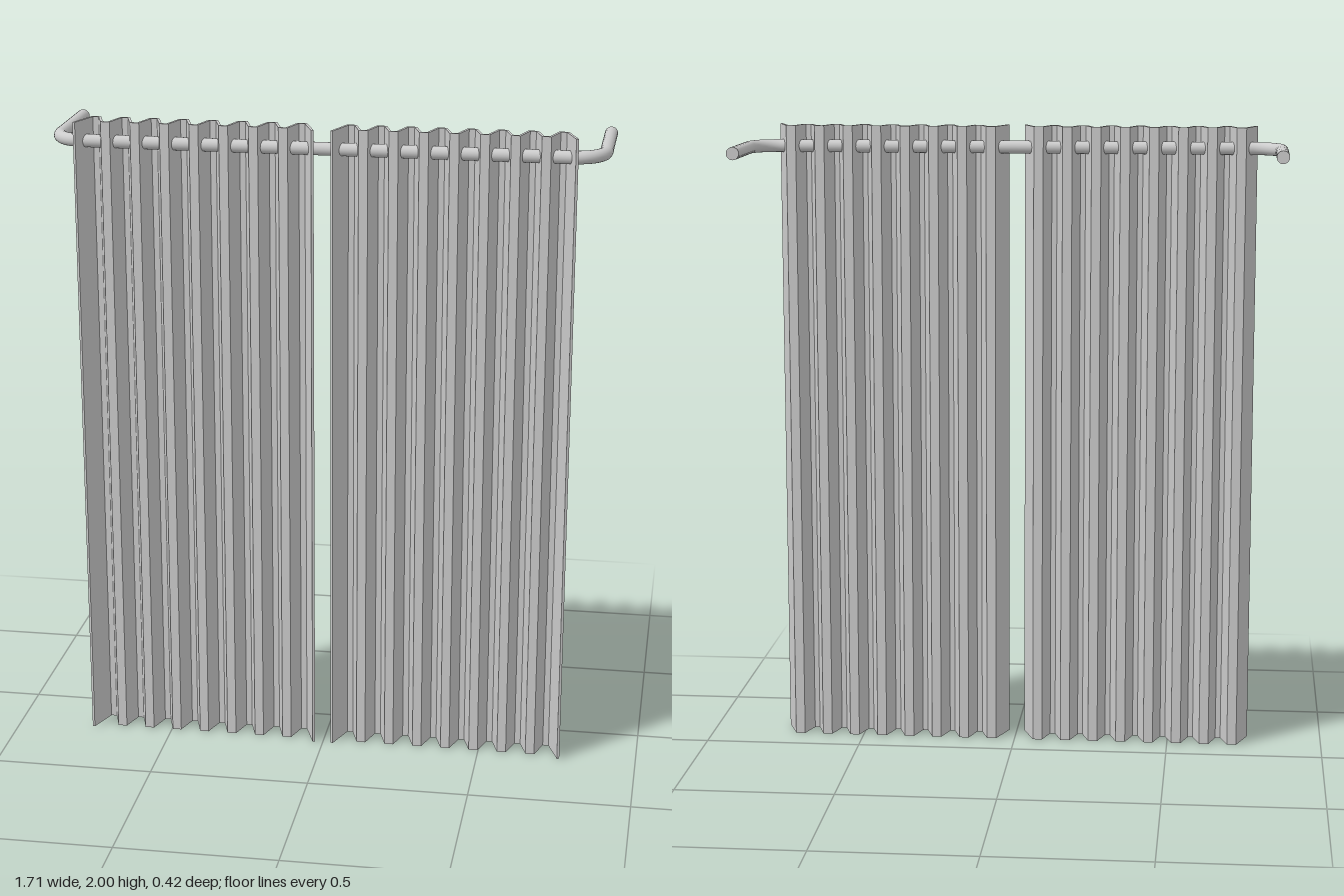
import * as THREE from 'three';

const material = new THREE.MeshStandardMaterial({ color: 0xcccccc });

// Folded centreline of one panel seen from above, as [x, z] points
function foldLine() {
  const folds = 8, pitch = 0.0907, back = 0.114, front = 0.183;
  const pts = [[-0.364, 0.207]];
  for (let i = 0; i < folds; i++) {
    const x = (i - (folds - 1) / 2) * pitch;
    pts.push([x - 0.012, back], [x + 0.012, back]);
    if (i < folds - 1) pts.push([x + pitch / 2 - 0.011, front], [x + pitch / 2 + 0.011, front]);
  }
  pts.push([0.364, 0.207]);
  return pts.map(([x, z]) => new THREE.Vector2(x, -z));
}

// Offset an open polyline sideways with mitred corners
function offsetLine(pts, d) {
  const normal = (a, b) => new THREE.Vector2(a.y - b.y, b.x - a.x).normalize();
  return pts.map((p, i) => {
    const n1 = normal(pts[Math.max(i - 1, 0)], pts[Math.max(i, 1)]);
    const last = pts.length - 1;
    const n2 = normal(pts[Math.min(i, last - 1)], pts[Math.min(i + 1, last)]);
    const m = n1.clone().add(n2).normalize();
    return p.clone().addScaledVector(m, d / m.dot(n1));
  });
}

function curtainGeometry() {
  const line = foldLine(), half = 0.004;
  const outline = [...offsetLine(line, -half), ...offsetLine(line, half).reverse()];
  const geo = new THREE.ExtrudeGeometry(new THREE.Shape(outline), { depth: 2, bevelEnabled: false });
  return geo.rotateX(-Math.PI / 2);
}

// Rail path: wall leg, rounded corner, long front run, rounded corner, wall leg
function railPath(x, y, zFront, zBack, r) {
  const V = (a, b) => new THREE.Vector3(a, y, b);
  const k = r * (1 - 0.5523);
  const path = new THREE.CurvePath();
  path.add(new THREE.LineCurve3(V(-x, zBack), V(-x, zFront - r)));
  path.add(new THREE.CubicBezierCurve3(V(-x, zFront - r), V(-x, zFront - k), V(-x + k, zFront), V(-x + r, zFront)));
  path.add(new THREE.LineCurve3(V(-x + r, zFront), V(x - r, zFront)));
  path.add(new THREE.CubicBezierCurve3(V(x - r, zFront), V(x - k, zFront), V(x, zFront - k), V(x, zFront - r)));
  path.add(new THREE.LineCurve3(V(x, zFront - r), V(x, zBack)));
  return path;
}

export function createModel() {
  const group = new THREE.Group();
  const add = (name, geo) => {
    const mesh = new THREE.Mesh(geo, material);
    mesh.name = name;
    group.add(mesh);
    return mesh;
  };

  // Pleated curtain panels
  const panel = curtainGeometry();
  for (const s of [-1, 1]) {
    add(s > 0 ? 'leftCurtain' : 'rightCurtain', panel).position.x = s * 0.393;
  }

  // Bent rail threaded through the pleats
  const x = 0.835, y = 1.933, zBack = -0.208, radius = 0.02;
  add('rail', new THREE.TubeGeometry(railPath(x, y, 0.152, zBack, 0.09), 180, radius, 20));

  // Flat rail ends at the wall
  for (const s of [-1, 1]) {
    const cap = add(s > 0 ? 'leftRailEnd' : 'rightRailEnd', new THREE.CircleGeometry(radius, 20));
    cap.rotation.y = Math.PI;
    cap.position.set(s * x, y, zBack);
  }
  return group;
}
